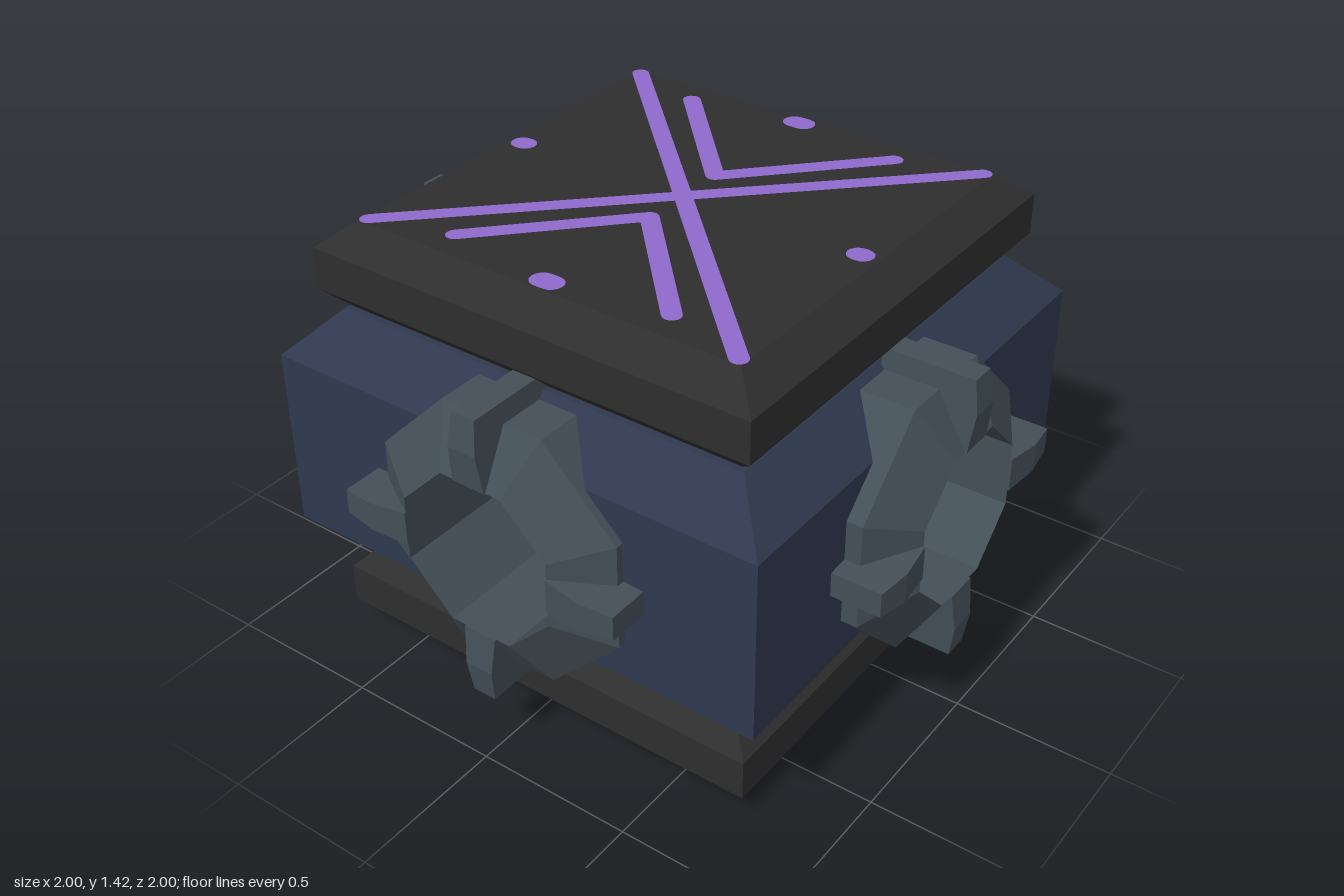
import * as THREE from 'three';

const CY = 0.705; // height of the centre
const OZ = 0.025; // small forward offset of the body and plates

const mat = (name, color) => {
  const m = new THREE.MeshStandardMaterial({ color });
  m.name = name;
  return m;
};

// Faceted normals
function flat(geo) {
  const g = geo.index ? geo.toNonIndexed() : geo;
  g.computeVertexNormals();
  return g;
}

function add(parent, name, geo, material) {
  const mesh = new THREE.Mesh(flat(geo), material);
  mesh.name = name;
  parent.add(mesh);
  return mesh;
}

// Prism turned around y; profile radii are measured to the flat sides
function prism(sides, profile) {
  const k = 1 / Math.cos(Math.PI / sides);
  const pts = profile.map(([r, y]) => new THREE.Vector2(r * k, y));
  return new THREE.LatheGeometry(pts, sides, Math.PI / sides);
}

// Rectangular block along z with an octagonal bore
function boredBlock(halfW, halfH, z0, z1) {
  const s = new THREE.Shape([[-1, -1], [1, -1], [1, 1], [-1, 1]]
    .map(([x, y]) => new THREE.Vector2(x * halfW, y * halfH)));
  const hole = [];
  for (let i = 0; i < 8; i++) {
    const a = (i + 0.5) * Math.PI / 4, r = 0.26 / Math.cos(Math.PI / 8);
    hole.push(new THREE.Vector2(r * Math.cos(a), r * Math.sin(a)));
  }
  s.holes.push(new THREE.Path(hole));
  return new THREE.ExtrudeGeometry(s, { depth: z1 - z0, bevelEnabled: false }).translate(0, 0, z0);
}

// Flat stripe with rounded ends, lying in the xz plane and facing up
function stripe(x0, z0, x1, z1, w) {
  const len = Math.hypot(x1 - x0, z1 - z0), r = w / 2;
  const s = new THREE.Shape();
  s.absarc(len / 2, 0, r, -Math.PI / 2, Math.PI / 2);
  s.absarc(-len / 2, 0, r, Math.PI / 2, Math.PI * 1.5);
  return new THREE.ShapeGeometry(s, 4)
    .rotateX(-Math.PI / 2)
    .rotateY(-Math.atan2(z1 - z0, x1 - x0))
    .translate((x0 + x1) / 2, 0, (z0 + z1) / 2);
}

// Lug reaching out from the ring along +x, narrower at its tip
function lugGeometry() {
  const s = new THREE.Shape([[0.25, 0.7], [0.475, 0.7], [0.475, 0.985], [0.37, 1.0], [0.25, 0.985]]
    .map(([r, d]) => new THREE.Vector2(r, d)));
  const g = new THREE.ExtrudeGeometry(s, { depth: 2, bevelEnabled: false }).translate(0, 0, -1);
  const p = g.attributes.position;
  for (let i = 0; i < p.count; i++) {
    const t = (p.getX(i) - 0.25) / 0.225;
    p.setZ(i, p.getZ(i) * (0.055 - 0.016 * t));
  }
  return g.rotateX(Math.PI / 2);
}

export function createModel() {
  const navy = mat('navy', 0x2f384e);
  const charcoal = mat('charcoal', 0x2e2e2e);
  const slate = mat('slate', 0x434f57);
  const violet = mat('violet', 0x9069cd);

  const model = new THREE.Group();
  model.name = 'cubeDevice';

  // Body: core with a through bore, two pocketed sides, sloped top and bottom
  const body = new THREE.Group();
  body.name = 'body';
  body.position.set(0, CY, OZ);
  model.add(body);
  add(body, 'bodyCore', boredBlock(0.32, 0.29, -0.83, 0.83), navy);
  for (const side of [1, -1]) {
    const label = side > 0 ? 'left' : 'right';
    add(body, label + 'BodySide', boredBlock(0.83, 0.29, 0.32, 0.83).rotateY(side * Math.PI / 2), navy);
    const slope = prism(4, [[0.83, 0.29], [0.69, 0.43], [0, 0.43]]);
    if (side < 0) slope.rotateZ(Math.PI);
    add(body, side > 0 ? 'topSlope' : 'bottomSlope', slope, navy);
  }

  // Plates with painted stripes, above and below
  for (const up of [true, false]) {
    const plate = new THREE.Group();
    plate.name = up ? 'topPlate' : 'bottomPlate';
    plate.position.set(0, CY, OZ);
    if (!up) plate.rotation.z = Math.PI;
    model.add(plate);
    add(plate, 'slab', prism(4, [[0, 0.43], [0.67, 0.43], [0.74, 0.5], [0.74, 0.63], [0.645, 0.705], [0, 0.705]]), charcoal);

    const paint = (name, ...args) => { add(plate, name, stripe(...args), violet).position.y = 0.708; };
    for (const s of [1, -1]) {
      paint('diagonalStripe', -0.625, -0.625 * s, 0.625, 0.625 * s, 0.054);
      for (const t of [1, -1]) paint('chevronStripe', 0, 0.158 * s, 0.368 * t, 0.553 * s, 0.056);
      paint('endDot', -0.015, 0.605 * s, 0.015, 0.605 * s, 0.075);
      paint('sideDot', 0.59 * s - 0.005, 0, 0.59 * s + 0.005, 0, 0.072);
    }
  }

  // Four octagonal port rings, each with four lugs
  ['front', 'left', 'back', 'right'].forEach((label, i) => {
    const port = new THREE.Group();
    port.name = label + 'Port';
    port.position.set(0, CY, i % 2 ? OZ : 0);
    port.rotation.y = i * Math.PI / 2;
    model.add(port);
    add(port, 'ring', prism(8, [[0.41, 0.6], [0.41, 0.88], [0.25, 0.98], [0.25, 0.325]]).rotateX(Math.PI / 2), slate);
    for (let k = 0; k < 4; k++) add(port, 'lug', lugGeometry().rotateZ(k * Math.PI / 2), slate);
  });

  return model;
}
